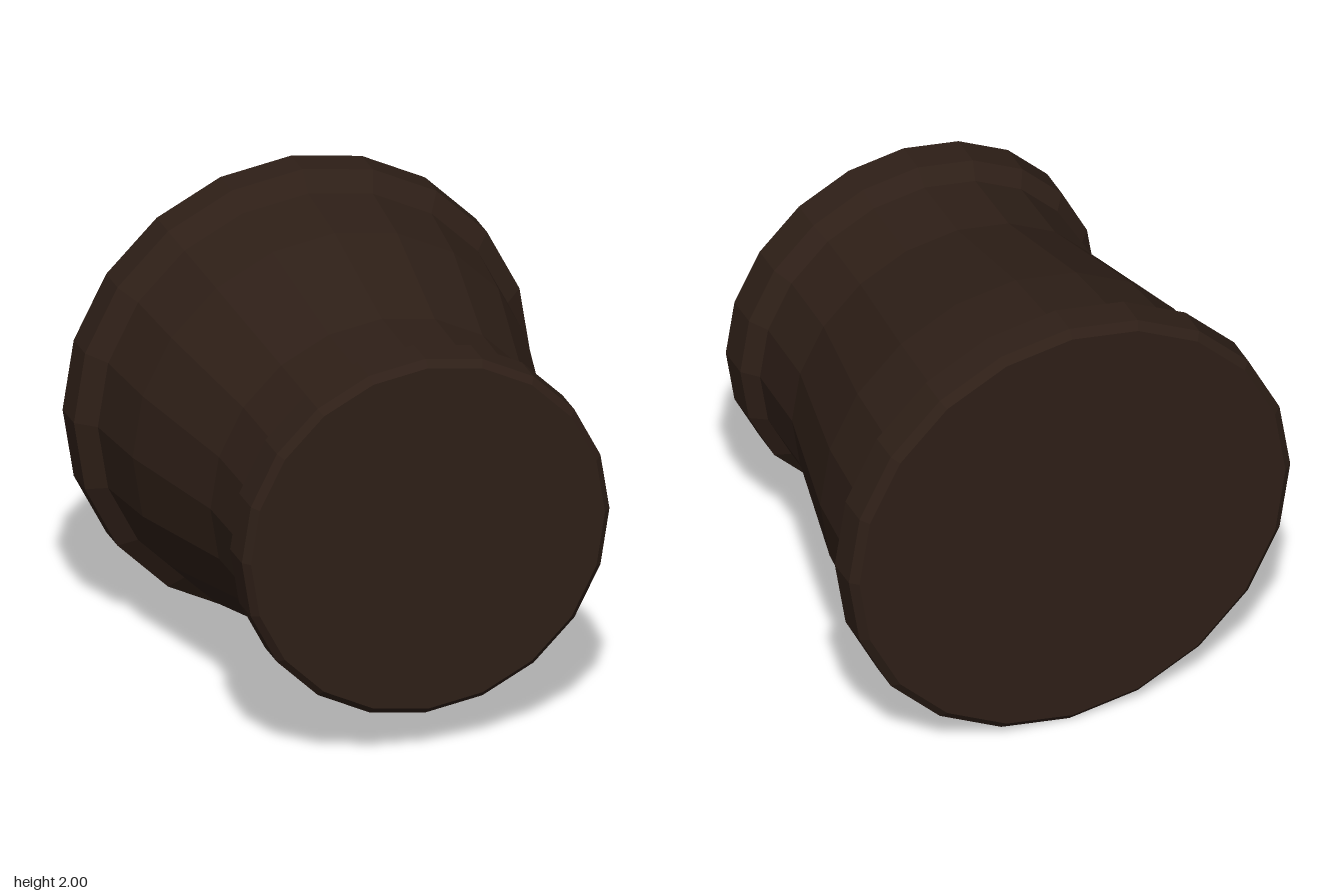
import * as THREE from 'three';

const SIDES = 20;

export function createModel() {
  const group = new THREE.Group();
  group.name = 'flaredStopper';
  const material = new THREE.MeshStandardMaterial({ color: 0x2e1f17, flatShading: true });

  // Turns a [radius, z] profile, listed back to front, around the z axis
  const turn = (name, profile) => {
    const points = profile.map(([r, z]) => new THREE.Vector2(r, z));
    const geometry = new THREE.LatheGeometry(points, SIDES).rotateX(Math.PI / 2);
    const mesh = new THREE.Mesh(geometry, material);
    mesh.name = name;
    mesh.position.y = 1;
    group.add(mesh);
  };

  // Wide bevelled rim with its closed back face
  turn('backRim', [[0, -0.86], [0.965, -0.86], [1, -0.83], [1, -0.69], [0.92, -0.62]]);

  // Tapering body between the rims
  turn('body', [[0.92, -0.62], [0.885, -0.29], [0.75, 0.29], [0.745, 0.62]]);

  // Narrow bevelled rim with its closed front face
  turn('frontRim', [[0.745, 0.62], [0.805, 0.685], [0.805, 0.83], [0.775, 0.86], [0, 0.86]]);

  return group;
}
